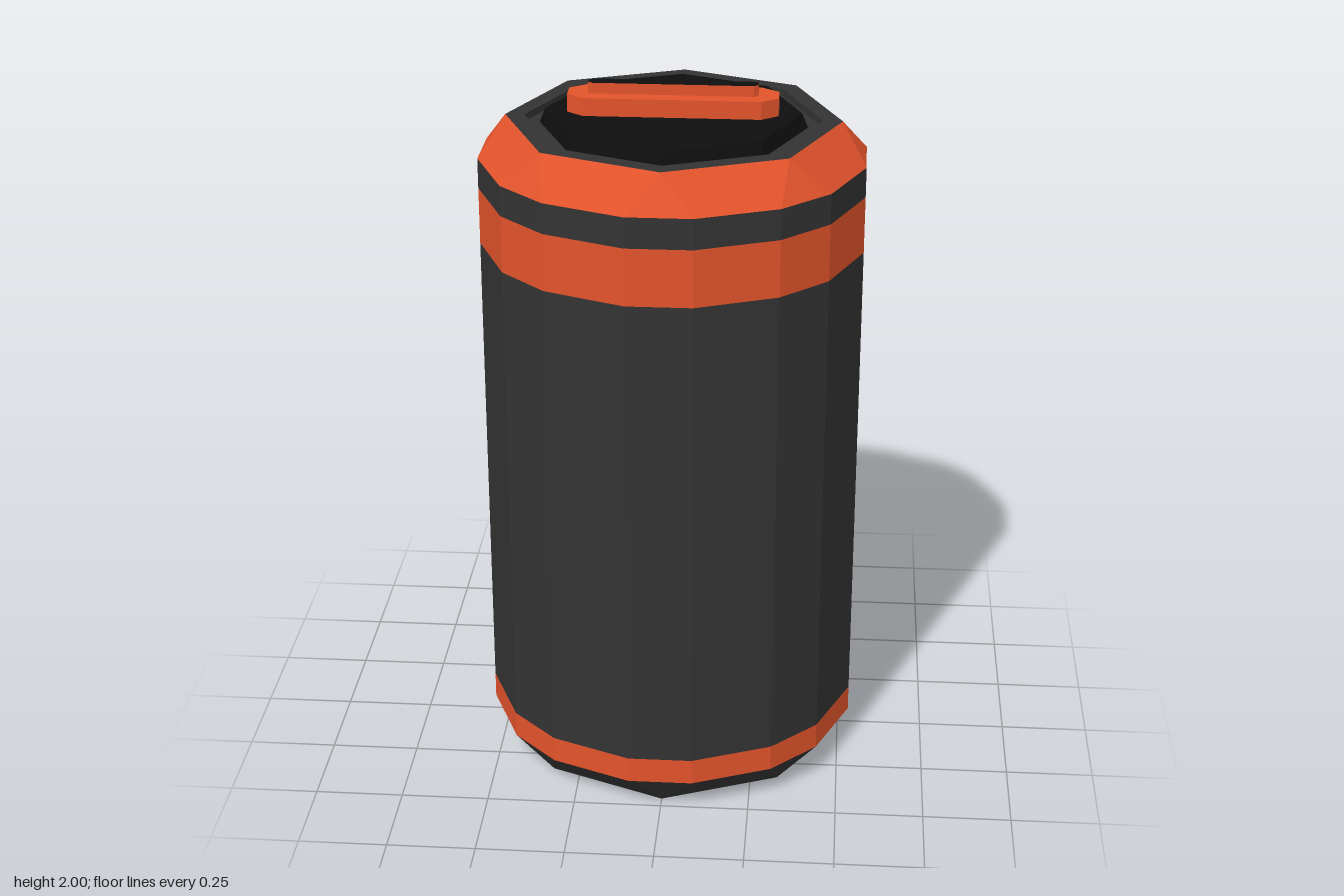
import * as THREE from 'three';

const mat = (color) => new THREE.MeshStandardMaterial({ color, flatShading: true });
const R = 0.538, SHORT = 9.64; // sixteen-sided outline: an octagon with its corners cut off
const rad = THREE.MathUtils.degToRad;
const polar = (deg, r, y) => [r * Math.sin(rad(deg)), y, r * Math.cos(rad(deg))];

// Outline corners, as angles measured from +z towards +x
const corners = [];
for (let k = 0; k < 8; k++) corners.push(45 * k - SHORT, 45 * k + SHORT);
const fullTurn = [...corners, 360 - SHORT];

// Point on the outline at any angle, scaled towards the axis
function onOutline(deg, scale, y) {
  const d = deg - 45 * Math.round(deg / 45);
  const short = Math.abs(d) <= SHORT + 1e-6;
  const half = short ? SHORT : 22.5 - SHORT;
  const off = short ? d : Math.abs(d) - 22.5;
  return polar(deg, (scale * R * Math.cos(rad(half))) / Math.cos(rad(off)), y);
}
const outlineRing = (y, angles = fullTurn, scale = 1) => angles.map((a) => onOutline(a, scale, y));
// Octagon ring with doubled points, so it can be joined to the sixteen-sided ring
const octRing = (r, y) => fullTurn.map((a) => polar(45 * Math.round(a / 45), r, y));

// Surface through successive rings, listed from bottom to top along the outside
function skin(rings) {
  const pos = [];
  for (let j = 0; j < rings.length - 1; j++) {
    const lo = rings[j], hi = rings[j + 1];
    for (let i = 0; i < lo.length - 1; i++) {
      pos.push(...lo[i], ...lo[i + 1], ...hi[i + 1], ...lo[i], ...hi[i + 1], ...hi[i]);
    }
  }
  const g = new THREE.BufferGeometry();
  g.setAttribute('position', new THREE.Float32BufferAttribute(pos, 3));
  g.computeVertexNormals();
  return g;
}

// Angles from a to b, including every outline corner between them
function span(a, b) {
  const inner = [...corners, ...corners.map((c) => c + 360)].filter((c) => c > a + 0.01 && c < b - 0.01);
  return [a, ...inner, b];
}

// Bar with clipped corners, lying flat
function clippedBar(hx, hz, cx, cz, height) {
  const s = new THREE.Shape([
    [hx, -hz + cz], [hx, hz - cz], [hx - cx, hz], [-hx + cx, hz],
    [-hx, hz - cz], [-hx, -hz + cz], [-hx + cx, -hz], [hx - cx, -hz],
  ].map(([x, y]) => new THREE.Vector2(x, y)));
  return new THREE.ExtrudeGeometry(s, { depth: height, bevelEnabled: false }).rotateX(-Math.PI / 2);
}

export function createModel() {
  const group = new THREE.Group();
  const dark = mat(0x333333), orange = mat(0xe2532b), black = mat(0x0e0e0e);
  const add = (name, geometry, material, y = 0) => {
    const m = new THREE.Mesh(geometry, material);
    m.name = name;
    m.position.y = y;
    group.add(m);
  };

  // Base, coloured bands and shoulder
  add('base', skin([octRing(0, 0), octRing(0.463, 0), outlineRing(0.1)]), dark);
  add('lowerBand', skin([outlineRing(0.1), outlineRing(0.175)]), orange);
  add('upperBand', skin([outlineRing(1.555), outlineRing(1.715)]), orange);
  add('collar', skin([outlineRing(1.715), outlineRing(1.8)]), dark);
  add('shoulder', skin([outlineRing(1.8), octRing(0.463, 1.9)]), orange);
  add('rim', skin([octRing(0.463, 1.9), octRing(0.41, 1.9), octRing(0.41, 1.88), octRing(0.35, 1.88)]), dark);

  // Body wall, with a recessed panel and a window on the back
  const [p0, p1] = [148.3, 230.7], [w0, w1] = [175.3, 210.8];
  const [pLo, pHi, wLo, wHi] = [0.215, 0.62, 0.26, 0.575];
  const inset = 0.925, deep = 0.89;
  const strip = (a, b, ...rows) => skin(rows.map(([s, y]) => outlineRing(y, span(a, b), s)));
  add('bodyWall', strip(p1, p0 + 360, [1, 0.175], [1, 1.555]), dark);
  add('bodyBelowPanel', strip(p0, p1, [1, 0.175], [1, pLo], [inset, pLo]), dark);
  add('bodyAbovePanel', strip(p0, p1, [inset, pHi], [1, pHi], [1, 1.555]), dark);
  for (const [a, b] of [[p0, w0], [w1, p1]]) add('panelSide', strip(a, b, [inset, pLo], [inset, pHi]), dark);
  add('panelBelowWindow', strip(w0, w1, [inset, pLo], [inset, wLo], [deep, wLo]), dark);
  add('panelAboveWindow', strip(w0, w1, [deep, wHi], [inset, wHi], [inset, pHi]), dark);
  add('window', strip(w0, w1, [deep, wLo], [deep, wHi]), black);

  // Upright side walls of the recesses
  const sideWall = (deg, outer, inner, lo, hi) =>
    skin([lo, hi].map((y) => [onOutline(deg, outer, y), onOutline(deg, inner, y)]));
  add('panelEdge', sideWall(p0, 1, inset, pLo, pHi), dark);
  add('panelEdge', sideWall(p1, inset, 1, pLo, pHi), dark);
  add('windowEdge', sideWall(w0, inset, deep, wLo, wHi), dark);
  add('windowEdge', sideWall(w1, deep, inset, wLo, wHi), dark);

  // Lid and handle
  add('lid', new THREE.CylinderGeometry(0.352, 0.37, 0.045, 8), black, 1.8975);
  add('handle', clippedBar(0.288, 0.066, 0.046, 0.036, 0.05), orange, 1.92);
  add('handleRidge', clippedBar(0.232, 0.021, 0.013, 0.01, 0.03), [black, orange], 1.97);
  return group;
}
